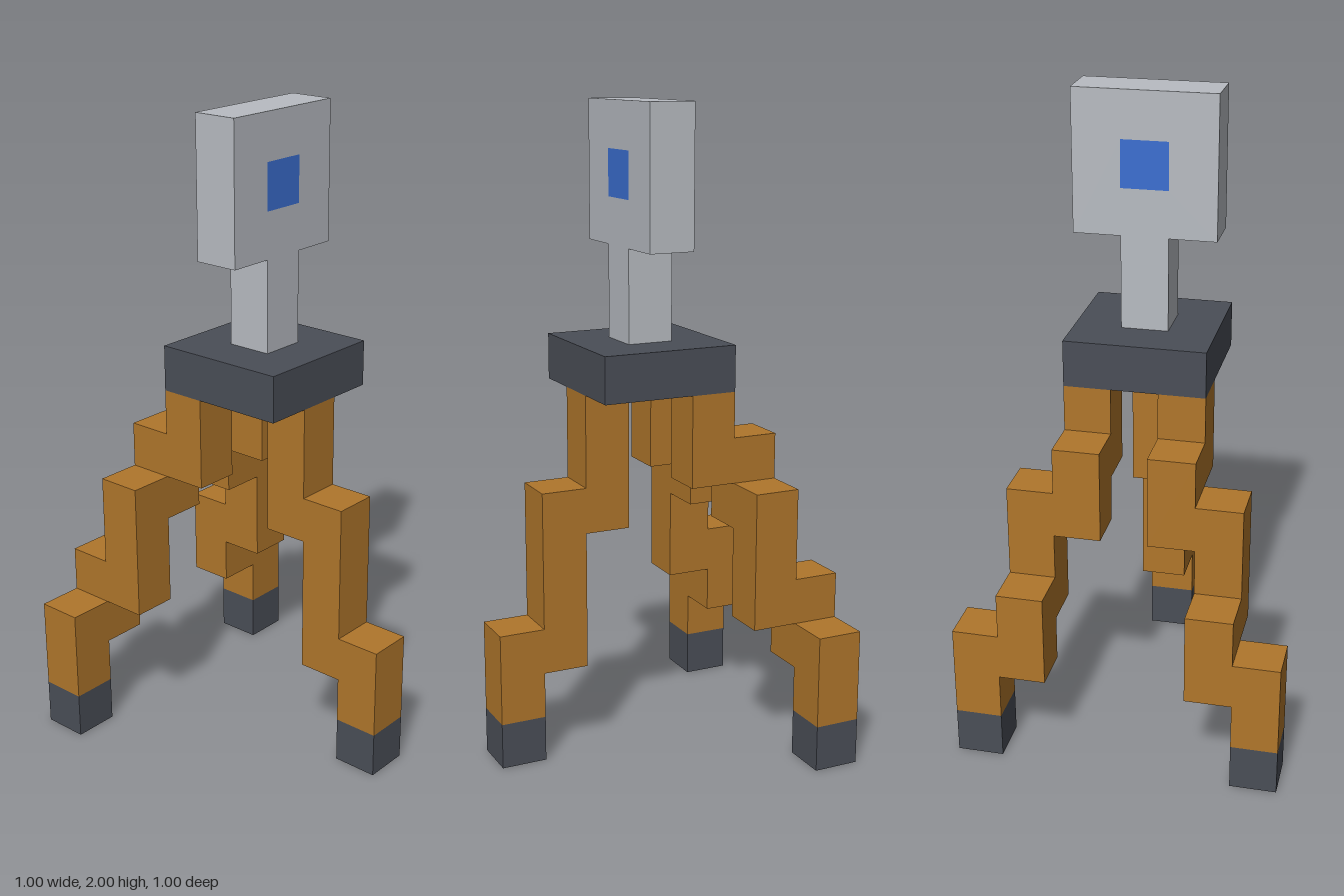
import * as THREE from 'three';

const U = 1 / 7; // size of one block; all sizes below are in blocks

const material = (name, color) => {
  const m = new THREE.MeshStandardMaterial({ color });
  m.name = name;
  return m;
};

// Box centred on x and z, spanning y0 to y1
function block(name, mat, x, z, y0, y1, w = 1, d = 1) {
  const mesh = new THREE.Mesh(new THREE.BoxGeometry(w * U, (y1 - y0) * U, d * U), mat);
  mesh.position.set(x * U, ((y0 + y1) / 2) * U, z * U);
  mesh.name = name;
  return mesh;
}

// Stepped leg from a list of [x, z, bottom, top]; the last step stands on the foot
function leg(name, steps, wood, dark) {
  const group = new THREE.Group();
  group.name = name;
  for (const [x, z, y0, y1] of steps) group.add(block('legSegment', wood, x, z, y0, y1));
  const [x, z] = steps[steps.length - 1];
  group.add(block('foot', dark, x, z, 0, 1));
  return group;
}

function square(target, half) {
  const h = half * U;
  target.moveTo(-h, -h);
  target.lineTo(h, -h);
  target.lineTo(h, h);
  target.lineTo(-h, h);
  target.closePath();
  return target;
}

export function createModel() {
  const wood = material('wood', 0xb0762b);
  const dark = material('darkMetal', 0x4a4e57);
  const gray = material('lightMetal', 0xb8bcc2);
  const blue = material('blueLens', 0x3b6fd1);

  const model = new THREE.Group();
  model.name = 'tripodDevice';

  // Three legs: one straight forward, two running diagonally back
  model.add(leg('frontLeg', [[0, 1, 5, 8], [0, 2, 2, 6], [0, 3, 1, 3]], wood, dark));
  for (const [name, s] of [['leftBackLeg', 1], ['rightBackLeg', -1]]) {
    const steps = [[s, -1, 6, 8], [s, -2, 5, 7], [2 * s, -2, 3, 6], [2 * s, -3, 2, 4], [3 * s, -3, 1, 3]];
    model.add(leg(name, steps, wood, dark));
  }

  // Mounting plate and post
  model.add(block('plate', dark, 0, 0, 8, 9, 3, 3));
  model.add(block('post', gray, 0, 0, 9, 11));

  // Square head with a lens block set flush through its middle
  const shape = square(new THREE.Shape(), 1.5);
  shape.holes.push(square(new THREE.Path(), 0.5));
  const head = new THREE.Mesh(new THREE.ExtrudeGeometry(shape, { depth: U, bevelEnabled: false }), gray);
  head.position.set(0, 12.5 * U, -U / 2);
  head.name = 'head';
  model.add(head, block('lens', blue, 0, 0, 12, 13));

  return model;
}
